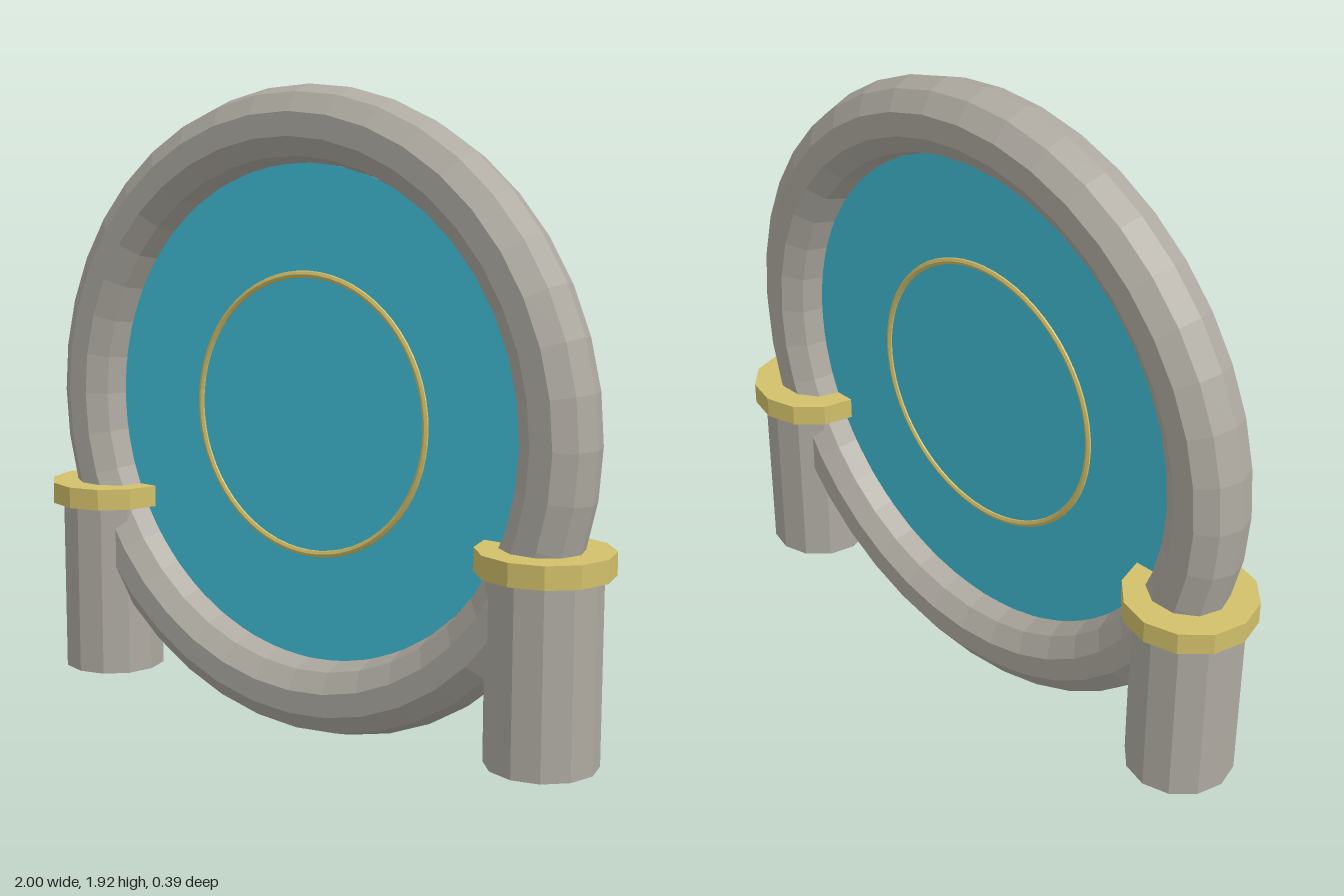
import * as THREE from 'three';

const CENTER_Y = 0.963;

export function createModel() {
  const model = new THREE.Group();
  model.name = 'ringPortal';

  const mat = (name, color) => {
    const m = new THREE.MeshStandardMaterial({ color });
    m.name = name;
    m.flatShading = true;
    return m;
  };
  const stone = mat('stone', 0xaeaaa1);
  const gold = mat('gold', 0xd2c06a);
  const water = mat('portalBlue', 0x40bdd6);

  const add = (name, geometry, material, x, y) => {
    const mesh = new THREE.Mesh(geometry, material);
    mesh.name = name;
    mesh.position.set(x, y, 0);
    model.add(mesh);
    return mesh;
  };

  // Upright stone ring
  add('stoneRing', new THREE.TorusGeometry(0.848, 0.1125, 10, 40), stone, 0, CENTER_Y);

  // Portal surface, visible from both sides
  const disc = new THREE.CylinderGeometry(0.736, 0.736, 0.01, 64).rotateX(Math.PI / 2);
  add('portalDisc', disc, water, 0, CENTER_Y);

  // Thin gold ring around the middle of the disc
  add('innerRing', new THREE.TorusGeometry(0.415, 0.0125, 8, 64), gold, 0, CENTER_Y);

  // Two pillars with gold collars
  for (const [side, s] of [['left', 1], ['right', -1]]) {
    add(side + 'Pillar', new THREE.CylinderGeometry(0.161, 0.161, 0.54, 12), stone, s * 0.806, 0.34);
    add(side + 'Collar', new THREE.CylinderGeometry(0.194, 0.194, 0.066, 12), gold, s * 0.806, 0.643);
  }

  return model;
}
